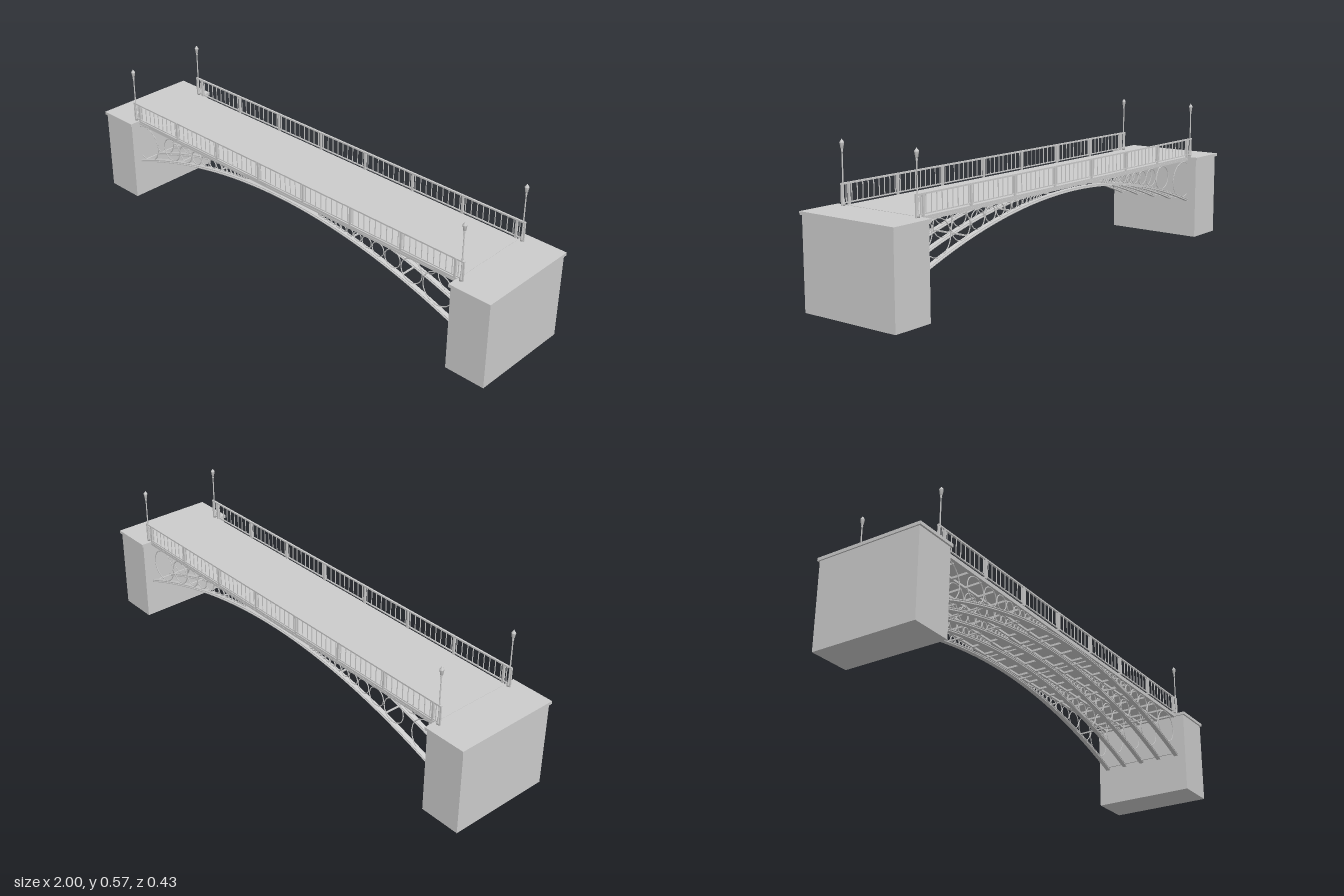
import * as THREE from 'three';

const HALF = 0.832;      // half of the clear span
const RAIL_Z = 0.17;
const DECK_Y = 0.346;
const BAY = 0.078;       // spacing of cross beams

// Height of the arch's upper edge
const archY = (x) => 0.325 - 0.162 * (x / HALF) ** 2;

export function createModel() {
  const model = new THREE.Group();
  const grey = new THREE.MeshStandardMaterial({ color: 0xcccccc });
  grey.name = 'light grey';

  function add(name, geometry, x = 0, y = 0, z = 0, parent = model) {
    const mesh = new THREE.Mesh(geometry, grey);
    mesh.name = name;
    mesh.position.set(x, y, z);
    parent.add(mesh);
    return mesh;
  }
  const box = (name, w, h, d, x, y, z, parent) =>
    add(name, new THREE.BoxGeometry(w, h, d), x, y, z, parent);
  function group(name) {
    const g = new THREE.Group();
    g.name = name;
    model.add(g);
    return g;
  }

  // Abutments with overhanging cap slabs
  for (const s of [-1, 1]) {
    box('abutment', 0.162, 0.334, 0.416, s * 0.914, 0.167, 0);
    box('abutmentCap', 0.172, 0.012, 0.43, s * 0.914, 0.339, 0);
  }

  // Deck slab, edge beams and cross beams
  box('deck', 2 * HALF, 0.008, 0.34, 0, DECK_Y - 0.004, 0);
  const floor = group('deckBeams');
  for (let i = 0; i < 22; i++) {
    box('crossBeam', 0.008, 0.008, 0.336, (i - 10.5) * BAY, 0.334, 0, floor);
  }

  // Curved band of the arch, drawn along its top and back along its bottom
  function archBand(top, depth, width) {
    const shape = new THREE.Shape();
    const n = 32;
    for (let i = 0; i <= n; i++) {
      const x = -HALF + (2 * HALF * i) / n;
      if (i === 0) shape.moveTo(x, archY(x) - top);
      else shape.lineTo(x, archY(x) - top);
    }
    for (let i = n; i >= 0; i--) {
      const x = -HALF + (2 * HALF * i) / n;
      shape.lineTo(x, archY(x) - top - depth);
    }
    const g = new THREE.ExtrudeGeometry(shape, { depth: width, bevelEnabled: false });
    return g.translate(0, 0, -width / 2);
  }
  const flange = archBand(0, 0.003, 0.018);
  const lowerFlange = archBand(0.007, 0.003, 0.018);
  const web = archBand(0.003, 0.004, 0.006);

  // Spandrel rings: each touches the arch, the deck beam and its neighbour
  const rings = [];
  let edge = 0.682;
  while (edge > 0.2) {
    let r = 0.03;
    for (let k = 0; k < 12; k++) r = (0.33 - archY(edge - r)) / 2;
    rings.push([edge - r, 0.33 - r, r]);
    edge -= 2 * r;
  }

  // Five arched ribs with stringers and rings
  for (let i = 0; i < 5; i++) {
    const rib = group('archRib');
    rib.position.z = (i - 2) * 0.0825;
    add('upperFlange', flange, 0, 0, 0, rib);
    add('ribWeb', web, 0, 0, 0, rib);
    add('lowerFlange', lowerFlange, 0, 0, 0, rib);
    box('stringer', 2 * HALF, 0.008, 0.012, 0, 0.334, 0, rib);
    const ring = (x, y, r) =>
      add('spandrelRing', new THREE.TorusGeometry(r - 0.002, 0.002, 5, 20), x, y, 0, rib);
    for (const [x, y, r] of rings) {
      ring(x, y, r);
      ring(-x, y, r);
    }
    ring(0.75, 0.262, 0.068);
    ring(-0.798, 0.25, 0.078);
  }

  // Cross ties between the ribs
  const ties = group('crossTies');
  for (let i = 0; i < 22; i += 3) {
    const x = (i - 10.5) * BAY;
    box('crossTie', 0.005, 0.005, 0.33, x, archY(x) - 0.005, 0, ties);
  }

  // Railings: rails, posts and balusters
  for (const s of [-1, 1]) {
    const railing = group('railing');
    railing.position.z = s * RAIL_Z;
    box('topRail', 1.71, 0.006, 0.007, 0, 0.42, 0, railing);
    box('bottomRail', 1.71, 0.004, 0.005, 0, 0.354, 0, railing);
    for (let i = -32; i <= 32; i++) {
      box('baluster', 0.0025, 0.066, 0.0025, i * 0.026, 0.387, 0, railing);
    }
    for (let i = 0; i < 8; i++) {
      box('railPost', 0.008, 0.077, 0.008, (i - 3.5) * 0.234, 0.3835, 0, railing);
    }
    for (const e of [-1, 1]) {
      box('endPost', 0.005, 0.076, 0.005, e * 0.8525, 0.383, 0, railing);
    }
  }

  // Lamp posts at the four corners
  const P = (r, y) => new THREE.Vector2(r, y);
  const post = new THREE.LatheGeometry([
    P(0, 0), P(0.0065, 0), P(0.0065, 0.008), P(0.005, 0.011), P(0.0045, 0.022),
    P(0.003, 0.028), P(0.0026, 0.07), P(0.0036, 0.073), P(0.0026, 0.076),
    P(0.0022, 0.182), P(0.004, 0.186), P(0.003, 0.192), P(0.003, 0.195),
  ], 8);
  const lantern = new THREE.LatheGeometry([
    P(0, 0.192), P(0.005, 0.194), P(0.008, 0.213), P(0.0085, 0.215),
    P(0.0025, 0.223), P(0, 0.227),
  ], 6);
  for (const x of [-0.845, 0.845]) {
    for (const z of [-RAIL_Z, RAIL_Z]) {
      const lamp = group('lamp');
      lamp.position.set(x, 0.345, z);
      add('lampPost', post, 0, 0, 0, lamp);
      add('lantern', lantern, 0, 0, 0, lamp);
    }
  }

  return model;
}
